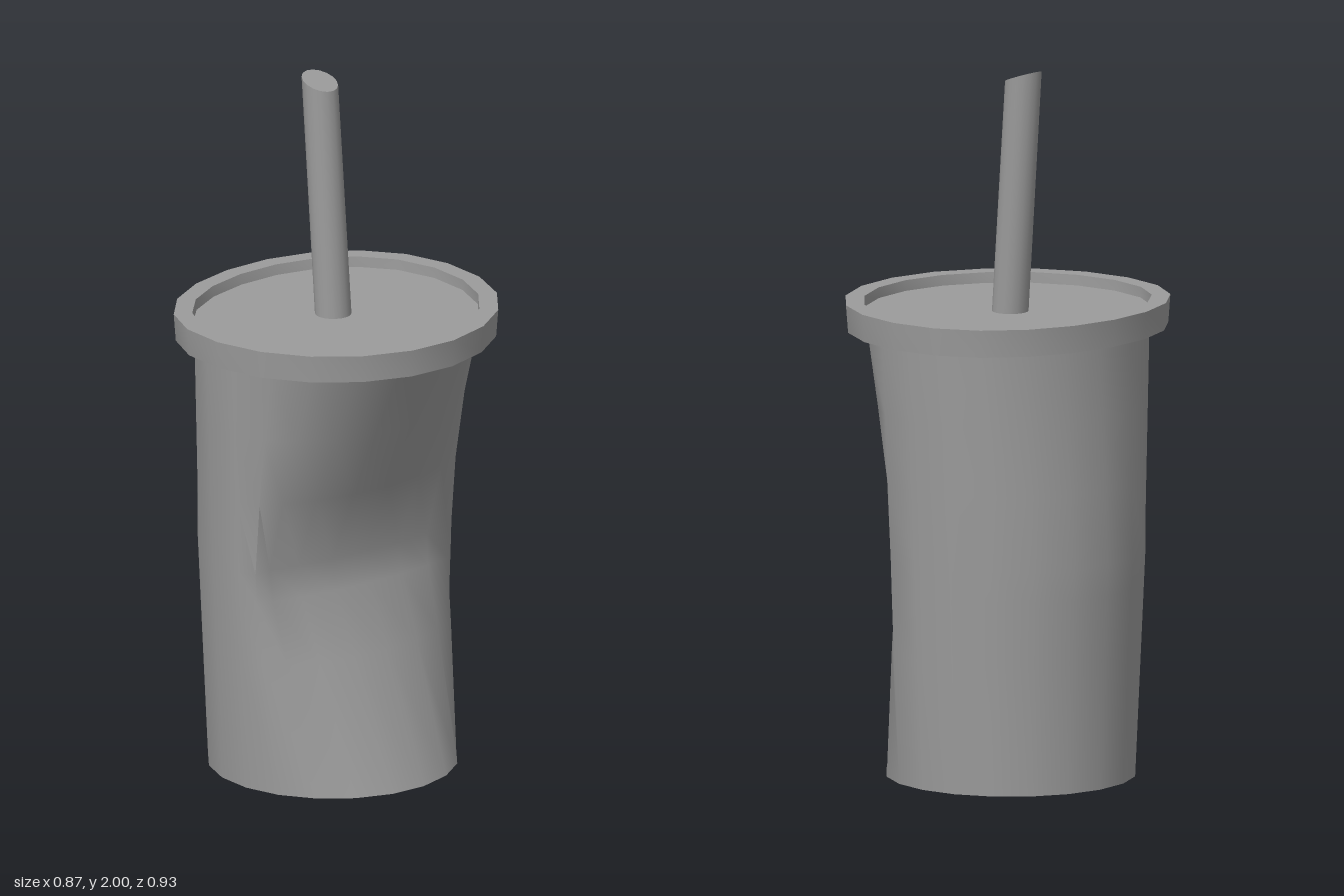
import * as THREE from 'three';
import { toCreasedNormals } from 'three/addons/utils/BufferGeometryUtils.js';

const SIDES = 20;
const CX = -0.03; // axis of the cup
// x of the crushed side where the dent is deepest, from front to back
const DENT = [0.015, 0.02, 0.05, 0.08, 0.1, 0.115, 0.12, 0.12, 0.085];

// Skin over horizontal rings [y, radius, left reach, dent amount], listed from bottom centre to top centre.
function ringSurface(rings, crease) {
  const pos = [], index = [];
  for (const [y, radius, left, dent = 0] of rings) {
    for (let i = 0; i < SIDES; i++) {
      const t = (i / SIDES) * Math.PI * 2, s = Math.sin(t);
      let x = CX + radius * s;
      if (i > SIDES / 2) x += (radius - left) * s * s;
      else if (i > 0 && i < SIDES / 2) x += (DENT[i - 1] - x) * dent;
      pos.push(x, y, radius * Math.cos(t));
    }
  }
  for (let j = 0; j < rings.length - 1; j++) {
    for (let i = 0; i < SIDES; i++) {
      const n = (i + 1) % SIDES;
      const a = j * SIDES + i, b = j * SIDES + n;
      const c = b + SIDES, d = a + SIDES;
      if (rings[j][1] > 0) index.push(a, b, d);
      if (rings[j + 1][1] > 0) index.push(b, c, d);
    }
  }
  const geo = new THREE.BufferGeometry();
  geo.setAttribute('position', new THREE.Float32BufferAttribute(pos, 3));
  geo.setIndex(index);
  return toCreasedNormals(geo, crease);
}

export function createModel() {
  const group = new THREE.Group();
  const material = new THREE.MeshStandardMaterial({ color: 0x9b9b9b });
  const add = (name, geo) => {
    const mesh = new THREE.Mesh(geo, material);
    mesh.name = name;
    group.add(mesh);
  };

  // Cup: tapered wall, bulging on -x and crushed on +x, given as [height, dent amount]
  const levels = [[0, 0], [0.37, 0.65], [0.55, 0.95], [0.64, 1], [0.85, 0.68], [1.05, 0.36], [1.27, 0]];
  const cup = levels.map(([y, dent]) => {
    const radius = 0.35 + 0.055 * (y / 1.27);
    const left = 0.35 + 0.03 * (1 - Math.abs(y - 0.64) / 0.64);
    return [y, radius, left, dent];
  });
  add('cup', ringSurface([[0, 0, 0], ...cup], 1.1));

  // Lid: raised rim around a sunken floor, slightly flattened on -x
  add('lid', ringSurface([
    [1.262, 0, 0], [1.262, 0.459, 0.4], [1.34, 0.465, 0.405],
    [1.34, 0.412, 0.354], [1.31, 0.411, 0.35], [1.31, 0, 0],
  ], 0.6));

  // Straw: leaning towards -x with a slanted cut at the top
  const straw = new THREE.CylinderGeometry(0.051, 0.051, 1, 16);
  const p = straw.attributes.position;
  for (let i = 0; i < p.count; i++) {
    const x = p.getX(i), top = p.getY(i) > 0;
    p.setXYZ(i, x + (top ? -0.079 : -0.027), top ? 1.982 - 0.36 * x : 1.3, p.getZ(i));
  }
  add('straw', toCreasedNormals(straw, 0.6));

  return group;
}
